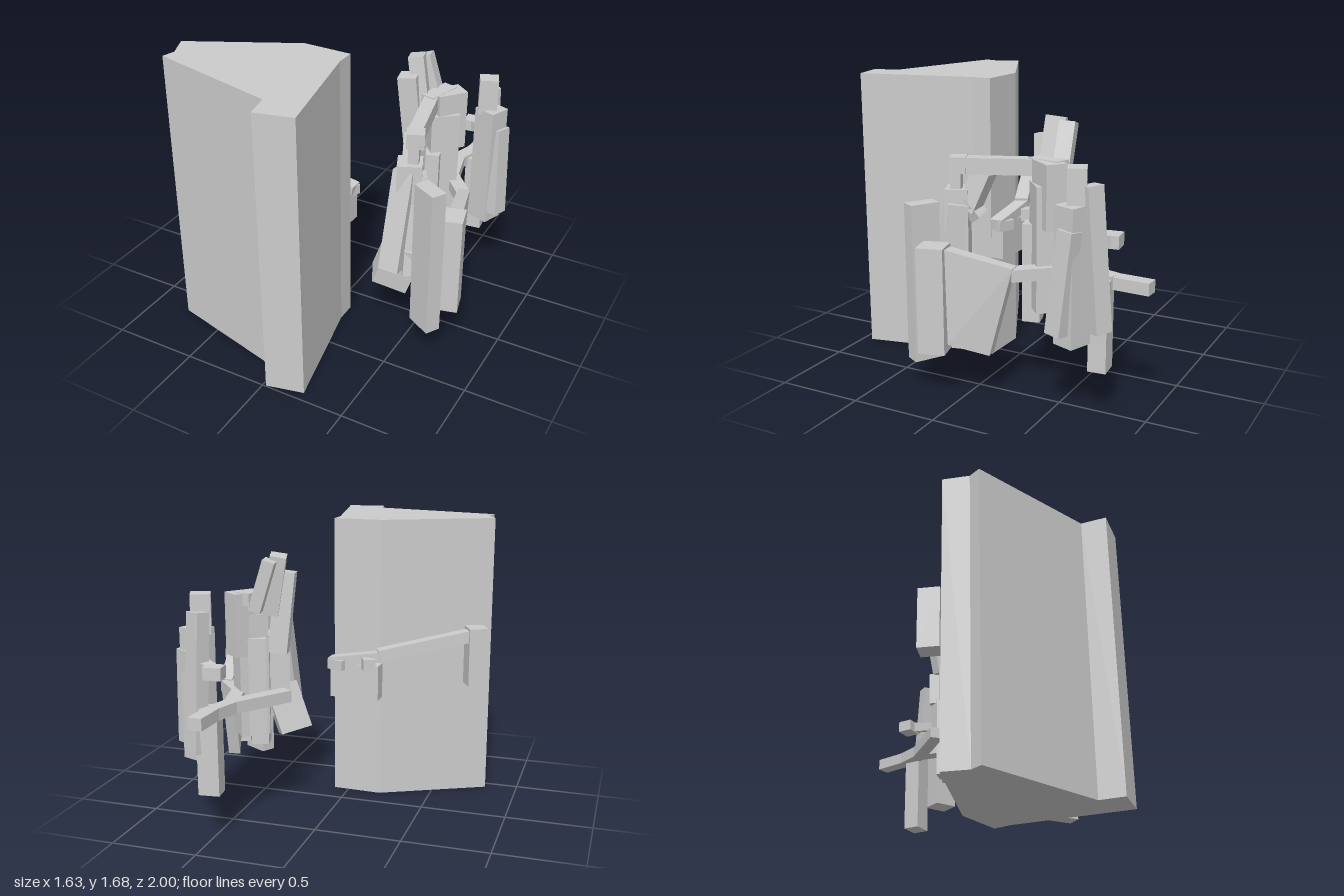
import * as THREE from 'three';

const mat = new THREE.MeshStandardMaterial({ color: 0xcccccc, flatShading: true, side: THREE.DoubleSide });

function mesh(parent, name, geo) {
  const m = new THREE.Mesh(geo, mat);
  m.name = name;
  parent.add(m);
  return m;
}

// Upright box: centre x/z, width, depth, turn about y, bottom and top
function post(parent, name, x, z, w, d, turn, y0, y1) {
  const m = mesh(parent, name, new THREE.BoxGeometry(w, y1 - y0, d));
  m.position.set(x, (y0 + y1) / 2, z);
  m.rotation.y = turn;
}

// Box running from a to b; w is its horizontal width, d its other thickness
function limb(parent, name, a, b, w, d, turn = 0) {
  const p = new THREE.Vector3(...a), q = new THREE.Vector3(...b);
  const y = q.clone().sub(p), len = y.length();
  y.normalize();
  const flat = Math.abs(y.y) < 0.6;
  const ref = flat ? new THREE.Vector3(0, 1, 0) : new THREE.Vector3(Math.sin(turn), 0, Math.cos(turn));
  const x = new THREE.Vector3().crossVectors(y, ref).normalize();
  const z = new THREE.Vector3().crossVectors(x, y);
  const m = mesh(parent, name, new THREE.BoxGeometry(w, len, d));
  m.quaternion.setFromRotationMatrix(new THREE.Matrix4().makeBasis(x, y, z));
  m.position.copy(p).add(q).multiplyScalar(0.5);
}

// Chain of limbs along a path
function chain(parent, name, pts, w, d) {
  for (let i = 0; i + 1 < pts.length; i++) limb(parent, name, pts[i], pts[i + 1], w, d);
}

// Six-sided solid between two corner loops of four points
function block(parent, name, low, high) {
  const c = [...low, ...high], pos = [];
  const quads = [[3, 2, 1, 0], [4, 5, 6, 7]];
  for (let i = 0; i < 4; i++) quads.push([i, (i + 1) % 4, (i + 1) % 4 + 4, i + 4]);
  for (const [a, b, e, f] of quads) for (const k of [a, b, e, a, e, f]) pos.push(...c[k]);
  const g = new THREE.BufferGeometry();
  g.setAttribute('position', new THREE.Float32BufferAttribute(pos, 3));
  g.computeVertexNormals();
  mesh(parent, name, g);
}

function subgroup(root, name) {
  const g = new THREE.Group();
  g.name = name;
  root.add(g);
  return g;
}

export function createModel() {
  const root = new THREE.Group();

  // Tall column, extruded from its plan
  const tower = subgroup(root, 'tower');
  const plan = [[-0.81, 0.44], [-0.2, 0.14], [0.09, 0.15], [0.09, 0.265], [0.235, 0.945],
    [0.02, 0.995], [-0.01, 0.85], [-0.77, 0.655], [-0.75, 0.58]];
  const body = new THREE.ExtrudeGeometry(new THREE.Shape(plan.map(([x, z]) => new THREE.Vector2(x, -z))),
    { depth: 1.685, bevelEnabled: false });
  body.rotateX(-Math.PI / 2);
  mesh(tower, 'column', body);

  // Rail on the back of the column
  chain(tower, 'rail', [[-0.2, 0.89, 0.1], [-0.74, 1.01, 0.31]], 0.08, 0.07);
  limb(tower, 'railEnd', [0.1, 0.83, 0.11], [-0.22, 0.885, 0.1], 0.08, 0.06);
  post(tower, 'railKnob', -0.155, 0.04, 0.07, 0.07, 0.45, 0.81, 0.88);
  post(tower, 'railKnob', 0.05, 0.09, 0.11, 0.07, -0.35, 0.79, 0.85);
  post(tower, 'railBlock', -0.06, 0.11, 0.3, 0.09, -0.04, 0.62, 0.83);
  post(tower, 'railTab', -0.74, 0.32, 0.11, 0.12, 0.45, 0.7, 1.05);

  // Front cluster
  const front = subgroup(root, 'frontCluster');
  post(front, 'tallPost', 0.64, 0.27, 0.168, 0.09, -0.53, 0.17, 1.07);
  post(front, 'shortPost', 0.722, 0.152, 0.145, 0.15, 0.25, 0.265, 0.865);
  block(front, 'slantedPanel',
    [[0.68, 0.325, 0.06], [0.755, 0.325, 0.05], [0.67, 0.27, -0.16], [0.6, 0.27, -0.15]],
    [[0.68, 0.86, 0.07], [0.755, 0.86, 0.06], [0.65, 0.775, -0.29], [0.58, 0.775, -0.28]]);
  const foot = [[0.243, 0.39, 0.16], [0.305, 0.356, 0.28], [0.49, 0.295, 0.22], [0.42, 0.33, 0.1]];
  block(front, 'leaningBlock', foot, foot.map(([x, y, z]) => [x + 0.1, y + 0.285, z]));
  limb(front, 'frontSlat', [0.445, 1.08, 0.16], [0.425, 0.49, 0.28], 0.12, 0.1);
  limb(front, 'sideSlat', [0.5, 1.05, 0.12], [0.505, 0.44, 0.2], 0.09, 0.11, 0.5);
  post(front, 'core', 0.46, 0.15, 0.14, 0.13, 0.4, 0.6, 1.13);
  limb(front, 'bentBlock', [0.42, 1.23, 0.0], [0.45, 1.01, 0.09], 0.09, 0.11);
  limb(front, 'bentBlockSmall', [0.46, 1.07, 0.11], [0.43, 0.97, 0.03], 0.09, 0.07);
  post(front, 'armPost', 0.48, 0.145, 0.06, 0.06, 0.3, 1.05, 1.24);
  post(front, 'armEnd', 0.48, 0.13, 0.1, 0.09, 0.4, 1.22, 1.31);

  // Middle cluster
  const mid = subgroup(root, 'middleCluster');
  chain(mid, 'upperArm', [[0.47, 1.26, 0.13], [0.375, 1.275, -0.3]], 0.08, 0.09);
  limb(mid, 'upperArmEnd', [0.36, 1.29, -0.27], [0.42, 1.295, -0.47], 0.09, 0.07);
  post(mid, 'core', 0.42, -0.37, 0.17, 0.14, 0.7, 0.5, 1.2);
  post(mid, 'coreTop', 0.44, -0.4, 0.18, 0.12, 0.9, 0.97, 1.325);
  post(mid, 'frontLeg', 0.4, -0.285, 0.1, 0.1, 0.25, 0.415, 0.97);
  post(mid, 'backLeg', 0.37, -0.4, 0.1, 0.09, 0.4, 0.505, 1.07);
  limb(mid, 'leaningPost', [0.235, 1.43, -0.275], [0.28, 0.97, -0.3], 0.11, 0.1, 0.2);
  limb(mid, 'innerRod', [0.25, 1.53, -0.35], [0.31, 1.2, -0.33], 0.09, 0.11, 0.3);
  limb(mid, 'outerRod', [0.27, 1.51, -0.43], [0.36, 1.23, -0.43], 0.07, 0.09, 0.15);

  // Low bar joining the middle and rear clusters
  const Y = 0.735;
  const bar = subgroup(root, 'lowBar');
  chain(bar, 'bar', [[0.475, Y, -1], [0.465, Y, -0.8], [0.42, Y, -0.65], [0.21, Y, -0.35]], 0.08, 0.068);
  chain(bar, 'barBranch', [[0.42, Y, -0.66], [0.475, Y, -0.43], [0.62, Y, -0.26]], 0.08, 0.068);

  // Rear cluster
  const rear = subgroup(root, 'rearCluster');
  post(rear, 'core', 0.625, -0.625, 0.14, 0.13, -0.35, 0.415, 1.16);
  post(rear, 'top', 0.595, -0.63, 0.11, 0.1, 0.4, 1.13, 1.35);
  post(rear, 'lowPost', 0.515, -0.74, 0.12, 0.1, 0.1, 0.255, 0.75);
  limb(rear, 'backSlat', [0.58, 1.26, -0.7], [0.585, 0.49, -0.765], 0.1, 0.08, -0.5);
  limb(rear, 'sideSlat', [0.68, 1.04, -0.63], [0.715, 0.49, -0.58], 0.08, 0.1, -0.3);
  post(rear, 'tab', 0.46, -0.775, 0.1, 0.09, 0.1, 0.92, 0.99);
  limb(rear, 'tabArm', [0.48, 0.955, -0.76], [0.6, 0.98, -0.68], 0.07, 0.06);

  return root;
}
